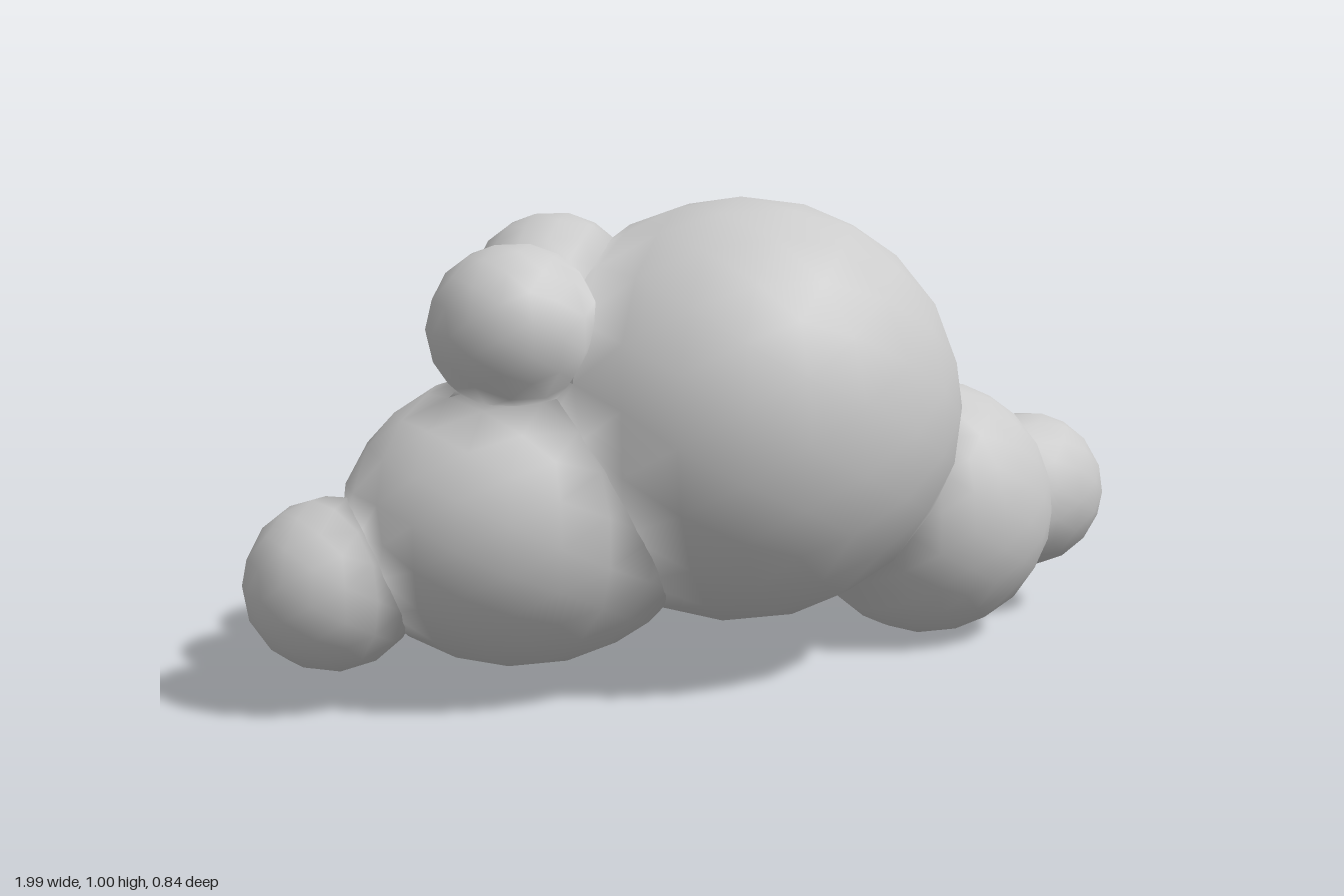
import * as THREE from 'three';

// Cloud puffs: name, centre, radii, subdivision
const PUFFS = [
  ['mainPuff', [0.045, 0.555, 0], [0.475, 0.447, 0.422], 3],
  ['rightPuff', [-0.42, 0.36, 0], [0.38, 0.31, 0.302], 3],
  ['rightEndPuff', [-0.82, 0.248, -0.003], [0.18, 0.178, 0.176], 2],
  ['upperFrontPuff', [-0.455, 0.76, 0.07], [0.175, 0.17, 0.17], 2],
  ['upperBackPuff', [-0.33, 0.80, -0.11], [0.175, 0.172, 0.172], 2],
  ['leftPuff', [0.525, 0.286, -0.11], [0.285, 0.286, 0.264], 3],
  ['leftEndPuff', [0.82, 0.284, -0.21], [0.18, 0.18, 0.172], 2],
].map(([name, c, r, detail]) => ({
  name, detail,
  centre: new THREE.Vector3(...c),
  radii: new THREE.Vector3(...r),
}));

// Normal blended between neighbouring puffs, so the seams shade softly
function blendedNormal(p) {
  const sum = new THREE.Vector3();
  for (const { centre, radii } of PUFFS) {
    const q = p.clone().sub(centre).divide(radii);
    const distance = (q.length() - 1) * Math.min(radii.x, radii.y, radii.z);
    const weight = Math.exp(-Math.max(distance, -0.15) / 0.025);
    sum.addScaledVector(q.divide(radii).normalize(), weight);
  }
  return sum.normalize();
}

function makePuff({ name, centre, radii, detail }, material) {
  const geometry = new THREE.IcosahedronGeometry(1, detail);
  geometry.scale(radii.x, radii.y, radii.z);
  const position = geometry.attributes.position;
  const normal = geometry.attributes.normal;
  const p = new THREE.Vector3();
  for (let i = 0; i < position.count; i++) {
    p.fromBufferAttribute(position, i).add(centre);
    const n = blendedNormal(p);
    normal.setXYZ(i, n.x, n.y, n.z);
  }
  const mesh = new THREE.Mesh(geometry, material);
  mesh.name = name;
  mesh.position.copy(centre);
  return mesh;
}

export function createModel() {
  const group = new THREE.Group();
  group.name = 'cloud';
  const material = new THREE.MeshStandardMaterial({ color: 0xcccccc });
  for (const puff of PUFFS) group.add(makePuff(puff, material));
  return group;
}
